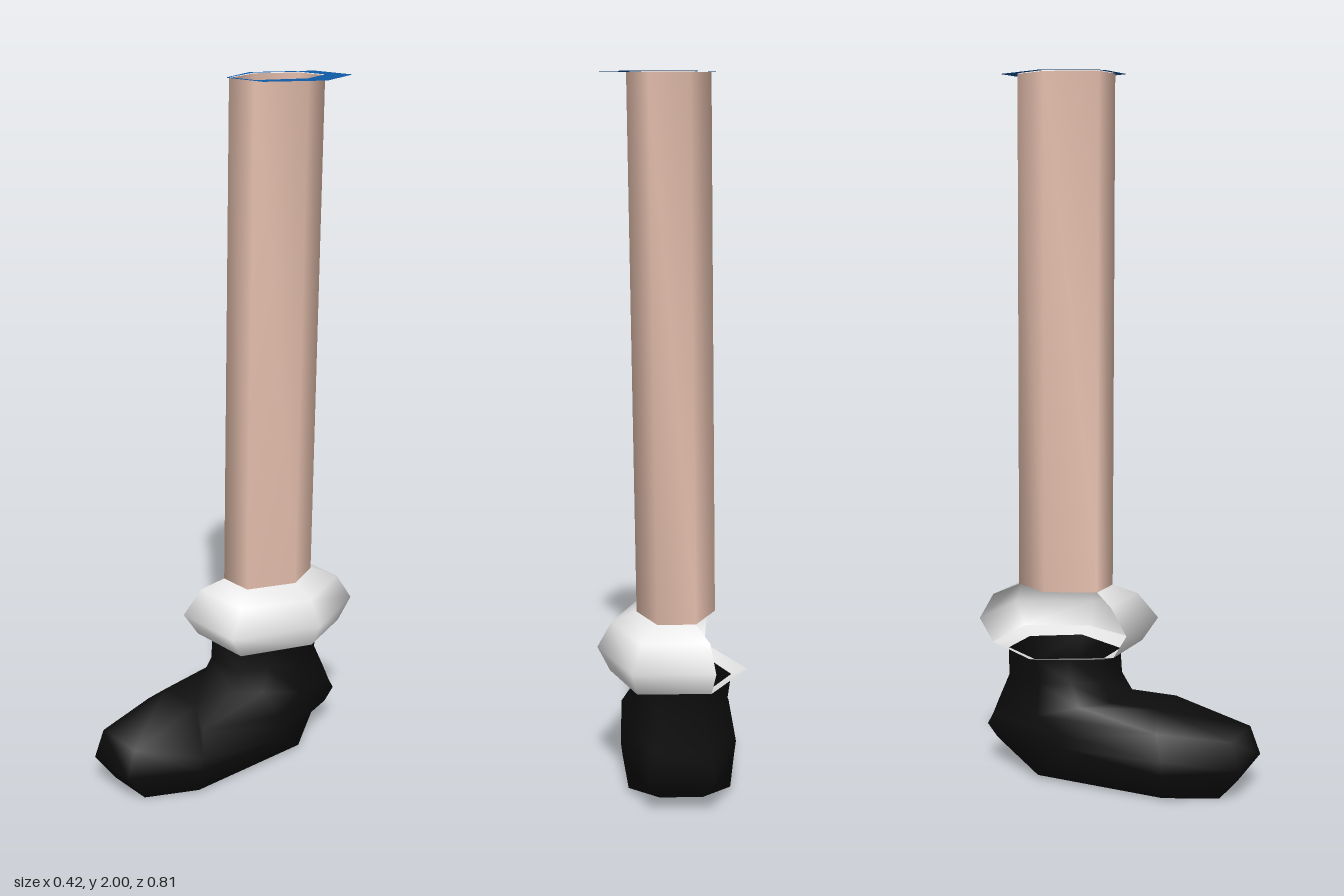
import * as THREE from 'three';

const paint = (name, color) => {
  const m = new THREE.MeshStandardMaterial({ color, side: THREE.DoubleSide });
  m.name = name;
  return m;
};

// Hexagon with points to the sides: x of left/right points, x of flat corners, z of front/middle/back
const hex = (y, left, right, flatL, flatR, front, back, mid = -0.19) => [
  [flatL, y, front], [flatR, y, front], [right, y, mid],
  [flatR, y, back], [flatL, y, back], [left, y, mid],
];

// Smooth skin over a stack of rings, listed top to bottom (or inside to outside)
function loft(name, material, rings, { closed = true, capEnd = null } = {}) {
  const n = rings[0].length, points = rings.flat(), index = [];
  for (let r = 0; r < rings.length - 1; r++) {
    for (let i = 0; i < (closed ? n : n - 1); i++) {
      const j = (i + 1) % n, a = r * n + i, b = r * n + j;
      index.push(a, a + n, b + n, a, b + n, b);
    }
  }
  if (capEnd) {
    const base = (rings.length - 1) * n, centre = points.length;
    points.push(capEnd);
    for (let i = 0; i < n; i++) index.push(base + i, centre, base + (i + 1) % n);
  }
  const g = new THREE.BufferGeometry();
  g.setAttribute('position', new THREE.Float32BufferAttribute(points.flat(), 3));
  g.setIndex(index);
  g.computeVertexNormals();
  const mesh = new THREE.Mesh(g, material);
  mesh.name = name;
  return mesh;
}

export function createModel() {
  const skin = paint('skin', 0xe6c0ae);
  const white = paint('white', 0xf0f0f0);
  const black = paint('black', 0x0d0d0d);
  const blue = paint('blue', 0x0f5aa6);
  const model = new THREE.Group();
  model.name = 'leg with shoe';

  // Hollow leg, leaning slightly sideways
  const legTop = hex(1.998, -0.1, 0.12, -0.04, 0.065, -0.05, -0.303);
  const legBottom = hex(0.54, -0.118, 0.1, -0.06, 0.045, -0.05, -0.303);
  model.add(loft('leg', skin, [legTop, legBottom]));

  // Flat trouser hem around the top of the leg
  model.add(loft('trouserHem', blue, [
    hex(2, -0.1, 0.118, -0.04, 0.065, -0.052, -0.303),
    hex(2, -0.12, 0.195, -0.038, 0.114, -0.036, -0.36),
  ]));

  // Puffy sock, open on one side above its lower rim
  const sockRim = hex(0.367, -0.21, 0.175, -0.1, 0.1, 0.02, -0.37);
  const sockRings = [
    legBottom,
    hex(0.51, 0, 0.17, -0.095, 0.09, 0.01, -0.37),
    hex(0.437, 0, 0.21, -0.11, 0.114, 0.065, -0.408),
    sockRim,
  ];
  model.add(loft('sockCuff', white, sockRings.map((r) => r.slice(0, 5)), { closed: false }));
  model.add(loft('sockRim', white, [
    hex(0.352, -0.165, 0.125, -0.085, 0.045, -0.025, -0.325), sockRim,
  ]));

  // Shoe: half sections [half width, y, z] for front, ball, heel side and back, mirrored about its own middle
  const shoeX = -0.02;
  const shoeHalves = [
    [[0.065, 0.352, -0.025], [0.105, 0.352, -0.107], [0.145, 0.352, -0.19], [0.065, 0.352, -0.325]],
    [[0.065, 0.28, -0.02], [0.1, 0.28, -0.105], [0.135, 0.28, -0.19], [0.065, 0.27, -0.325]],
    [[0.07, 0.23, 0.01], [0.12, 0.22, -0.07], [0.15, 0.19, -0.19], [0.08, 0.19, -0.355]],
    [[0.07, 0.23, 0.15], [0.13, 0.18, 0.17], [0.16, 0.15, -0.1], [0.085, 0.15, -0.37]],
    [[0.075, 0.17, 0.377], [0.165, 0.115, 0.2], [0.167, 0.11, -0.1], [0.09, 0.12, -0.385]],
    [[0.08, 0.09, 0.406], [0.162, 0.075, 0.2], [0.162, 0.07, -0.1], [0.085, 0.08, -0.355]],
    [[0.07, 0, 0.34], [0.145, 0.005, 0.2], [0.145, 0.01, -0.19], [0.06, 0.045, -0.325]],
  ];
  const shoeRings = shoeHalves.map((half) => {
    const side = (s) => half.map(([w, y, z]) => [shoeX + s * w, y, z]);
    const leftHalf = side(-1);
    return [leftHalf[0], ...side(1), ...leftHalf.slice(1).reverse()];
  });
  model.add(loft('shoe', black, shoeRings, { capEnd: [shoeX, 0.004, 0] }));

  return model;
}
